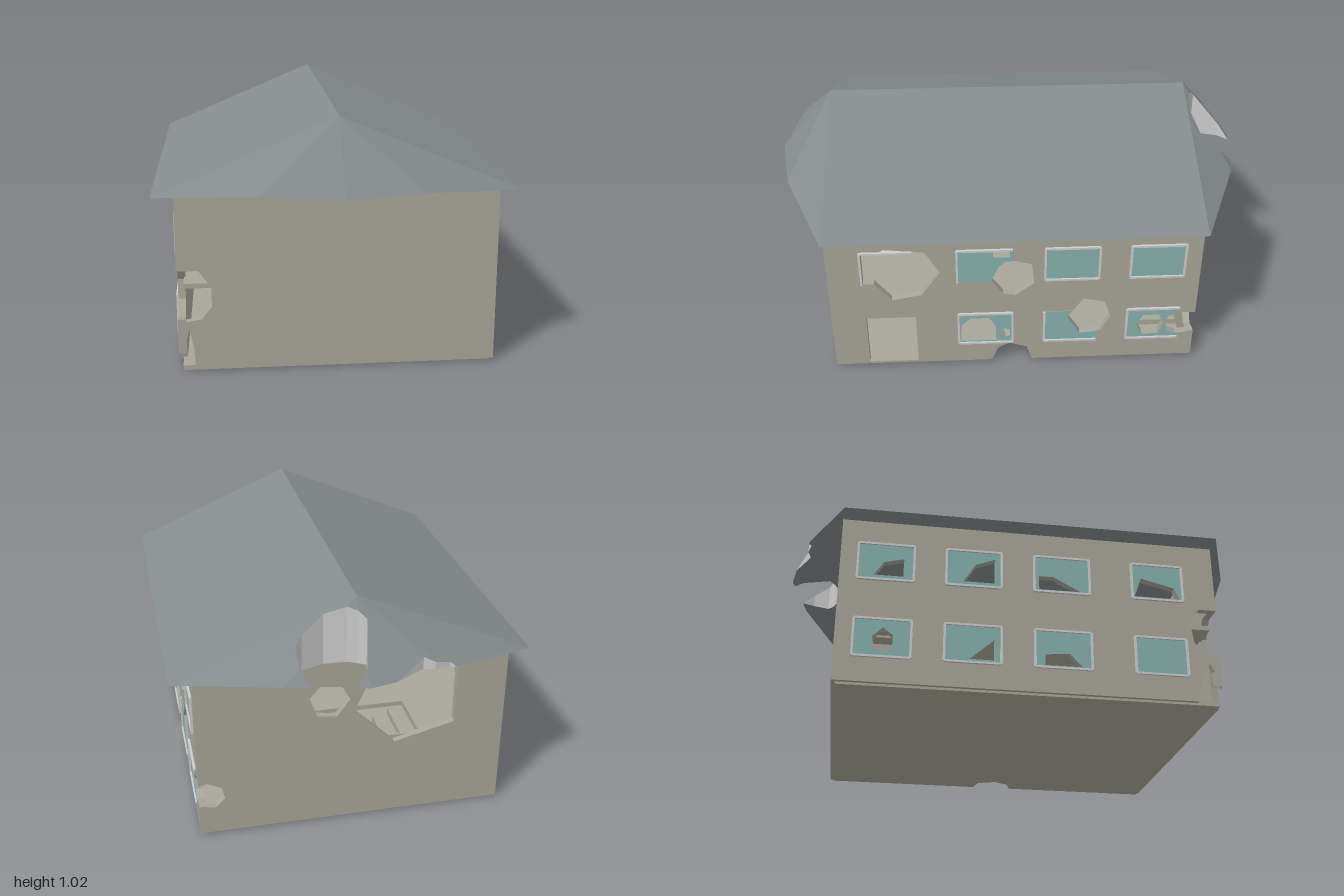
import * as THREE from 'three';

const mat = (color) => new THREE.MeshStandardMaterial({ color, flatShading: true, side: THREE.DoubleSide });
const M = {
  wall: mat(0xa8a598), roof: mat(0x858b8d), glass: mat(0x86b0ac), grey: mat(0xcccccc),
};
const HALF_X = 0.635, HALF_Z = 0.775, TOP = 0.75, THICK = 0.03;
const rect = (a, b, c, d) => [[a, c], [b, c], [b, d], [a, d]];
const flip = (pts, s) => pts.map(([a, b]) => [a * s, b]);
const toV2 = (pts) => pts.map(([a, b]) => new THREE.Vector2(a, b));

// Flat panel facing outward: turned about y, outer face at distance dist
function panel(name, material, turn, dist, depth, outline, holes = []) {
  const shape = new THREE.Shape(toV2(outline));
  holes.forEach((h) => shape.holes.push(new THREE.Path(toV2(h))));
  const geo = new THREE.ExtrudeGeometry(shape, { depth, bevelEnabled: false });
  geo.translate(0, 0, dist - depth).rotateY(turn);
  const mesh = new THREE.Mesh(geo, material);
  mesh.name = name;
  return mesh;
}

function box(name, material, w, h, d, x, y, z) {
  const mesh = new THREE.Mesh(new THREE.BoxGeometry(w, h, d), material);
  mesh.position.set(x, y, z);
  mesh.name = name;
  return mesh;
}

// Window: pane with raised bars; z positions as [low, high]
function makeWindow(side, z, y, { outline, holes = [], bars = 'tblr', pane = true } = {}) {
  const g = new THREE.Group();
  g.name = 'window';
  if (pane) {
    g.add(panel('windowPane', M.glass, side * Math.PI / 2, HALF_X + 0.003, 0.005,
      flip(outline || rect(z[0], z[1], y[0], y[1]), -side), holes.map((h) => flip(h, -side))));
  }
  const w = z[1] - z[0], h = y[1] - y[0], t = 0.009;
  const zm = (z[0] + z[1]) / 2, ym = (y[0] + y[1]) / 2, x = side * HALF_X;
  const bar = (bw, bh, by, bz) => g.add(box('windowFrame', M.grey, 0.02, bh, bw, x, by, bz));
  if (bars.includes('t')) bar(w, t, y[1], zm);
  if (bars.includes('b')) bar(w, t, y[0], zm);
  if (bars.includes('l')) bar(t, h, ym, z[1]);
  if (bars.includes('r')) bar(t, h, ym, z[0]);
  return g;
}

// Height of the faceted hip end; c is the height at its centre point
function hipHeight(x, z, c) {
  const ax = Math.abs(x), d = z - 0.77;
  if (d * 0.31 >= ax * 0.175) {
    const a = (0.745 - c) / 0.23;
    return c + d * a + ax * (0.755 - c - 0.175 * a) / 0.31;
  }
  const b = (0.715 - c) / 0.725;
  return c + ax * b + d * (0.755 - c - 0.31 * b) / 0.175;
}

function soup(name, material, tris) {
  const geo = new THREE.BufferGeometry();
  geo.setAttribute('position', new THREE.Float32BufferAttribute(tris.flat(), 3));
  geo.computeVertexNormals();
  const mesh = new THREE.Mesh(geo, material);
  mesh.name = name;
  return mesh;
}

// Hip end from flat facets in plan, with a top skin, an underside and broken edges
function hipEnd(s, facets, cuts) {
  const g = new THREE.Group();
  g.name = 'roofEnd';
  const point = ([x, z], c) => [x, hipHeight(x, z, c), s * z];
  for (const [c, name] of [[1.02, 'roofEndTop'], [0.75, 'roofEndUnderside']]) {
    const tris = [];
    facets.forEach((f) => THREE.ShapeUtils.triangulateShape(toV2(f), []).forEach((t) => {
      const p = t.map((i) => point(f[i], c));
      const [A, B, C] = t.map((i) => f[i]);
      const up = ((B[1] - A[1]) * (C[0] - A[0]) - (B[0] - A[0]) * (C[1] - A[1])) * s > 0;
      if (up !== (c > 1)) p.reverse();
      tris.push(...p);
    }));
    g.add(soup(name, M.roof, tris));
  }
  cuts.forEach((cut) => {
    const tris = [];
    for (let i = 0; i + 1 < cut.length; i++) {
      const [a, b] = [point(cut[i], 1.02), point(cut[i + 1], 1.02)];
      const [d, e] = [point(cut[i], 0.75), point(cut[i + 1], 0.75)];
      tris.push(a, d, b, b, d, e);
    }
    g.add(soup('brokenRoofEdge', M.grey, tris));
  });
  return g;
}

export function createModel() {
  const model = new THREE.Group();
  model.name = 'damagedHouse';
  const cols = [[0.42, 0.635], [0.01, 0.24], [-0.35, -0.125], [-0.705, -0.48]];
  const up = [0.45, 0.61], low = [0.115, 0.275];

  // Left wall with door and blast holes, as (z, y)
  const blast = {
    a: [[0.63, 0.45], [0.63, 0.605], [0.55, 0.605], [0.54, 0.625], [0.37, 0.605], [0.31, 0.5],
      [0.39, 0.385], [0.515, 0.36], [0.585, 0.45]],
    b: [[0.1, 0.45], [0.07, 0.52], [0.04, 0.55], [0, 0.55], [-0.07, 0.53], [-0.08, 0.43], [0, 0.37], [0.05, 0.38]],
    c: [[-0.29, 0.34], [-0.38, 0.32], [-0.41, 0.24], [-0.37, 0.16], [-0.28, 0.15], [-0.225, 0.24]],
    d: [[0.23, 0.125], [0.23, 0.21], [0.19, 0.25], [0.11, 0.25], [0.08, 0.2], [0.08, 0.125]],
    e: [[-0.525, 0.19], [-0.55, 0.24], [-0.62, 0.24], [-0.64, 0.19], [-0.62, 0.135], [-0.55, 0.135]],
    f: [[0.07, 0.165], [0.04, 0.19], [0.02, 0.18], [0.02, 0.15], [0.04, 0.14]],
    g: rect(0.02, 0.09, 0.572, 0.6),
  };
  const door = rect(0.42, 0.63, 0.02, 0.265);
  const leftOutline = [[HALF_Z, 0.01], [0.1, 0.01], [0.07, 0.08], [0.01, 0.11], [-0.05, 0.085], [-0.075, 0.01],
    [-HALF_Z, 0.01], [-HALF_Z, 0.14], [-0.7, 0.13], [-0.66, 0.15], [-0.645, 0.19], [-0.66, 0.23],
    [-0.7, 0.25], [-HALF_Z, 0.245], [-HALF_Z, TOP], [HALF_Z, TOP]];
  model.add(panel('leftWall', M.wall, Math.PI / 2, HALF_X, THICK, flip(leftOutline, -1),
    [door, ...Object.values(blast)].map((h) => flip(h, -1))));
  model.add(
    makeWindow(1, cols[0], up, { pane: false, bars: 'tl' }),
    makeWindow(1, cols[1], up, { bars: 'tl', holes: [blast.g],
      outline: [[0.24, 0.45], [0.24, 0.61], [0.01, 0.61], [0.01, 0.55], [0.04, 0.55], [0.07, 0.52], [0.1, 0.45]] }),
    makeWindow(1, cols[2], up), makeWindow(1, cols[3], up),
    makeWindow(1, cols[1], low, { holes: [blast.d, blast.f] }),
    makeWindow(1, cols[2], low, { bars: 'bl', outline: [[-0.125, 0.115], [-0.125, 0.275], [-0.24, 0.275],
      [-0.225, 0.24], [-0.28, 0.15], [-0.35, 0.158], [-0.35, 0.115]] }),
    makeWindow(1, cols[3], low, { bars: 'tbl', holes: [blast.e], outline: [[-0.48, 0.115], [-0.48, 0.275],
      [-0.705, 0.275], [-0.705, 0.25], [-0.66, 0.23], [-0.645, 0.19], [-0.66, 0.15], [-0.705, 0.13], [-0.705, 0.115]] }),
  );

  // Right wall: eight windows, some panes broken
  const breaks = {
    '0,1': [[0.62, 0.46], [0.6, 0.51], [0.46, 0.545], [0.43, 0.46]],
    '1,1': [[0.2, 0.46], [0.09, 0.52], [0.03, 0.52], [0.03, 0.46]],
    '2,1': [[-0.15, 0.47], [-0.15, 0.58], [-0.23, 0.55], [-0.28, 0.47]],
    '3,1': [[-0.52, 0.47], [-0.52, 0.55], [-0.6, 0.53], [-0.64, 0.47]],
    '1,0': [[0.2, 0.125], [0.15, 0.18], [0.05, 0.17], [0.05, 0.125]],
    '2,0': [[-0.15, 0.13], [-0.15, 0.22], [-0.25, 0.13]],
    '3,0': [[-0.55, 0.15], [-0.55, 0.21], [-0.59, 0.24], [-0.63, 0.2], [-0.62, 0.14]],
  };
  const rightOutline = [[-HALF_Z, 0.01], [0.67, 0.01], [0.69, 0.1], [0.73, 0.18], [HALF_Z, 0.08],
    [HALF_Z, 0.22], [0.72, 0.21], [0.67, 0.27], [0.66, 0.35], [0.7, 0.42], [HALF_Z, 0.42],
    [HALF_Z, TOP], [-HALF_Z, TOP]];
  model.add(panel('rightWall', M.wall, -Math.PI / 2, HALF_X, THICK, rightOutline, Object.values(breaks)));
  cols.forEach((z, i) => [low, up].forEach((y, j) => {
    const hole = breaks[`${i},${j}`];
    model.add(makeWindow(-1, z, y, { holes: hole ? [hole] : [] }));
  }));

  // Front wall, broken at one corner, as (x, y)
  model.add(panel('frontWall', M.wall, 0, HALF_Z, THICK, [[HALF_X, 0.01], [-0.57, 0.01], [-0.575, 0.1],
    [-0.59, 0.18], [-0.61, 0.1], [-HALF_X, 0.08], [-HALF_X, 0.22], [-0.6, 0.21], [-0.54, 0.22], [-0.5, 0.27],
    [-0.5, 0.35], [-0.55, 0.42], [-HALF_X, 0.42], [-HALF_X, TOP], [HALF_X, TOP]]));

  // Back wall with a large breach under the eave
  const backOutline = [[-HALF_X, 0.01], [HALF_X, 0.01], [HALF_X, 0.14], [0.57, 0.13], [0.53, 0.17], [0.54, 0.22],
    [0.6, 0.25], [HALF_X, 0.245], [HALF_X, TOP], [-HALF_X, TOP]];
  const backHoles = [
    [[-0.424, 0.41], [-0.17, 0.345], [0, 0.51], [-0.09, 0.71], [-0.3, 0.72], [-0.424, 0.66]],
    [[0.18, 0.59], [0.15, 0.506], [0.07, 0.495], [0.017, 0.57], [0.05, 0.63], [0.14, 0.64]],
  ];
  model.add(panel('backWall', M.wall, Math.PI, HALF_Z, THICK, flip(backOutline, -1), backHoles.map((h) => flip(h, -1))));

  // Base slab with a bite, and upper floor with a stairwell
  const slab = (name, y, t, outline, holes) => {
    const m = panel(name, M.wall, 0, 0, t, outline, holes);
    m.geometry.rotateX(-Math.PI / 2);
    m.position.y = y;
    model.add(m);
  };
  slab('baseSlab', 0.02, 0.02, [[-0.62, -0.76], [0.62, -0.76], [0.62, -0.1], [0.56, -0.09], [0.52, -0.02],
    [0.55, 0.06], [0.62, 0.075], [0.62, 0.76], [-0.62, 0.76]]);
  slab('upperFloor', 0.36, 0.02, rect(-0.61, 0.61, -0.75, 0.75), [rect(-0.35, 0.45, 0.5, 0.74)]);

  // Stairs along the back wall
  for (let i = 0; i < 12; i++) {
    const top = 0.02 + (i + 1) * 0.0283;
    model.add(box('stairStep', M.wall, 0.067, 0.03, 0.24, 0.417 - i * 0.067, top - 0.015, -0.62));
  }

  // Main roof prism
  model.add(panel('mainRoof', M.roof, 0, 0.77, 1.54, [[-0.725, 0.715], [0.725, 0.715], [0, 1.02]]));

  // Whole front hip, and broken back hip, as (x, z) facets
  const peak = [0, 0.77], rim = [[-0.725, 0.77], [-0.31, 0.945], [0, 1], [0.31, 0.945], [0.725, 0.77]];
  model.add(hipEnd(1, [0, 1, 2, 3].map((i) => [peak, rim[i], rim[i + 1]]), []));
  const chip = [[-0.36, 0.92], [-0.34, 0.91], [-0.275, 0.925], [-0.23, 0.915], [-0.11, 0.98]];
  const bite = [[0.04, 0.992], [0, 0.95], [-0.03, 0.83], [0, 0.81], [0.04, 0.793], [0.13, 0.78],
    [0.22, 0.815], [0.25, 0.84], [0.245, 0.908], [0.22, 0.96]];
  model.add(hipEnd(-1, [
    [peak, rim[0], ...chip.slice(0, 3)],
    [peak, ...chip.slice(2), rim[2], ...bite.slice(1, 4)],
    [rim[2], bite[0], bite[1]],
    [peak, bite[3], bite[4]],
    [bite[8], bite[9], rim[3]],
    [peak, ...bite.slice(4, 9), rim[3], rim[4]],
  ], [chip, bite]));
  return model;
}
